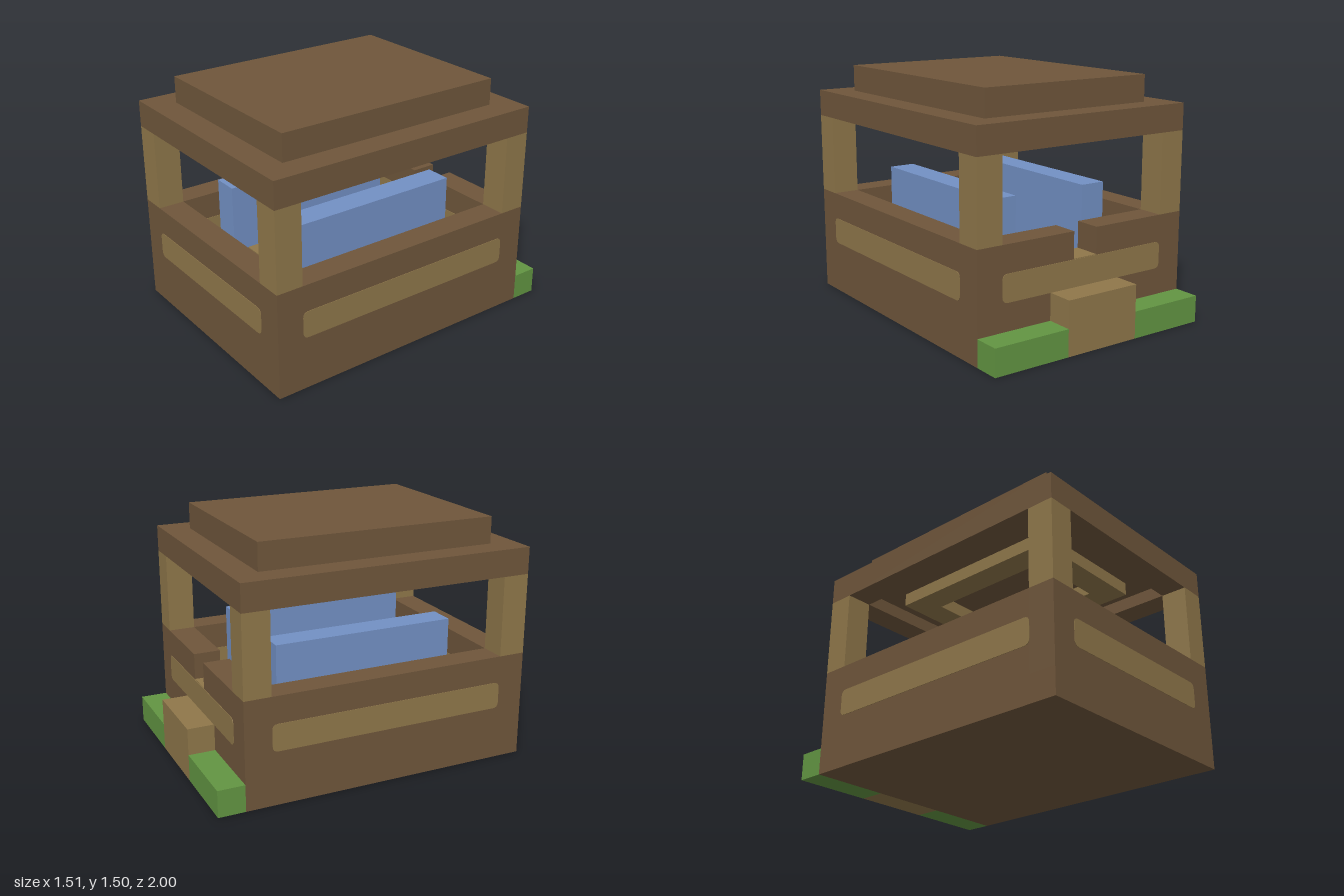
import * as THREE from 'three';

const mat = (name, color) => {
  const m = new THREE.MeshStandardMaterial({ color });
  m.name = name;
  return m;
};

export function createModel() {
  const model = new THREE.Group();
  model.name = 'pavilion';
  const brown = mat('darkWood', 0x6f563b);
  const tan = mat('lightWood', 0x8f774a);
  const blue = mat('seatBlue', 0x7290c4);
  const green = mat('leafGreen', 0x629542);
  const U = 1 / 12; // building grid

  // box from min / max corners, in grid units
  function box(name, m, x0, x1, y0, y1, z0, z1) {
    const mesh = new THREE.Mesh(new THREE.BoxGeometry((x1 - x0) * U, (y1 - y0) * U, (z1 - z0) * U), m);
    mesh.position.set((x0 + x1) / 2 * U, (y0 + y1) / 2 * U, (z0 + z1) / 2 * U);
    mesh.name = name;
    model.add(mesh);
  }

  // four-sided frame around a rectangular opening
  function frame(name, m, y0, y1, [x, z0, z1], [ix, iz0, iz1]) {
    box(name + 'Front', m, -x, x, y0, y1, iz1, z1);
    box(name + 'Back', m, -x, x, y0, y1, z0, iz0);
    for (const s of [-1, 1]) {
      box(name + 'Side', m, Math.min(s * ix, s * x), Math.max(s * ix, s * x), y0, y1, iz0, iz1);
    }
  }

  // thin inlay with rounded corners
  function inlay(name, width, x, z, turn) {
    const w = width * U / 2, h = U, r = 0.035;
    const s = new THREE.Shape();
    s.moveTo(-w + r, -h);
    s.lineTo(w - r, -h); s.quadraticCurveTo(w, -h, w, -h + r);
    s.lineTo(w, h - r); s.quadraticCurveTo(w, h, w - r, h);
    s.lineTo(-w + r, h); s.quadraticCurveTo(-w, h, -w, h - r);
    s.lineTo(-w, -h + r); s.quadraticCurveTo(-w, -h, -w + r, -h);
    const mesh = new THREE.Mesh(new THREE.ExtrudeGeometry(s, { depth: 0.003, bevelEnabled: false, curveSegments: 4 }), tan);
    mesh.position.set(x * U, 5 * U, z * U);
    mesh.rotation.y = turn;
    mesh.name = name;
    model.add(mesh);
  }

  // base, walls and the rim with a doorway notch at the back
  const outer = [9, -10, 12], inner = [7, -8, 10];
  box('floor', brown, -9, 9, 0, 2, -10, 12);
  frame('wall', brown, 2, 6, outer, inner);
  box('rimFront', brown, -9, 9, 6, 8, 10, 12);
  for (const s of [-1, 1]) {
    const span = (a, b) => [Math.min(s * a, s * b), Math.max(s * a, s * b)];
    box('rimSide', brown, ...span(7, 9), 6, 8, -8, 10);
    box('rimBack', brown, ...span(1, 9), 6, 8, -10, -8);
    box('backPost', tan, ...span(7, 9), 8, 14, -10, -8);
    box('frontPost', tan, ...span(7, 9), 8, 14, 10, 12);
    box('seat', blue, ...span(3, 5), 2, 10, -6, 8);
    box('hedge', green, ...span(3, 9), 0, 2, -12, -10);
    inlay('sideInlay', 18, s * 9, 1, s * Math.PI / 2);
    inlay('innerSideInlay', 16, s * 7, 1, -s * Math.PI / 2);
  }
  inlay('frontInlay', 14, 0, 12, 0);
  inlay('backInlay', 14, 0, -10, Math.PI);
  inlay('innerFrontInlay', 12, 0, 10, Math.PI);
  inlay('innerBackInlay', 12, 0, -8, 0);

  // steps outside and inside, and the console
  box('doorSill', tan, -1, 1, 6, 6.05, -10, -8);
  box('backStep', tan, -3, 3, 0, 4, -12, -10);
  box('console', tan, -1, 1, 2, 6, 6, 8);

  // hollow roof with a ceiling frame and lamp
  frame('eave', brown, 14, 16, outer, inner);
  box('ceiling', brown, -7, 7, 15, 16, -8, 10);
  box('roofTop', brown, -7, 7, 16, 18, -8, 10);
  frame('ceilingFrame', tan, 14, 15, [5, -6, 8], [3, -4, 6]);
  box('lamp', tan, -1, 1, 14, 15, 4.5, 5.7);

  return model;
}
